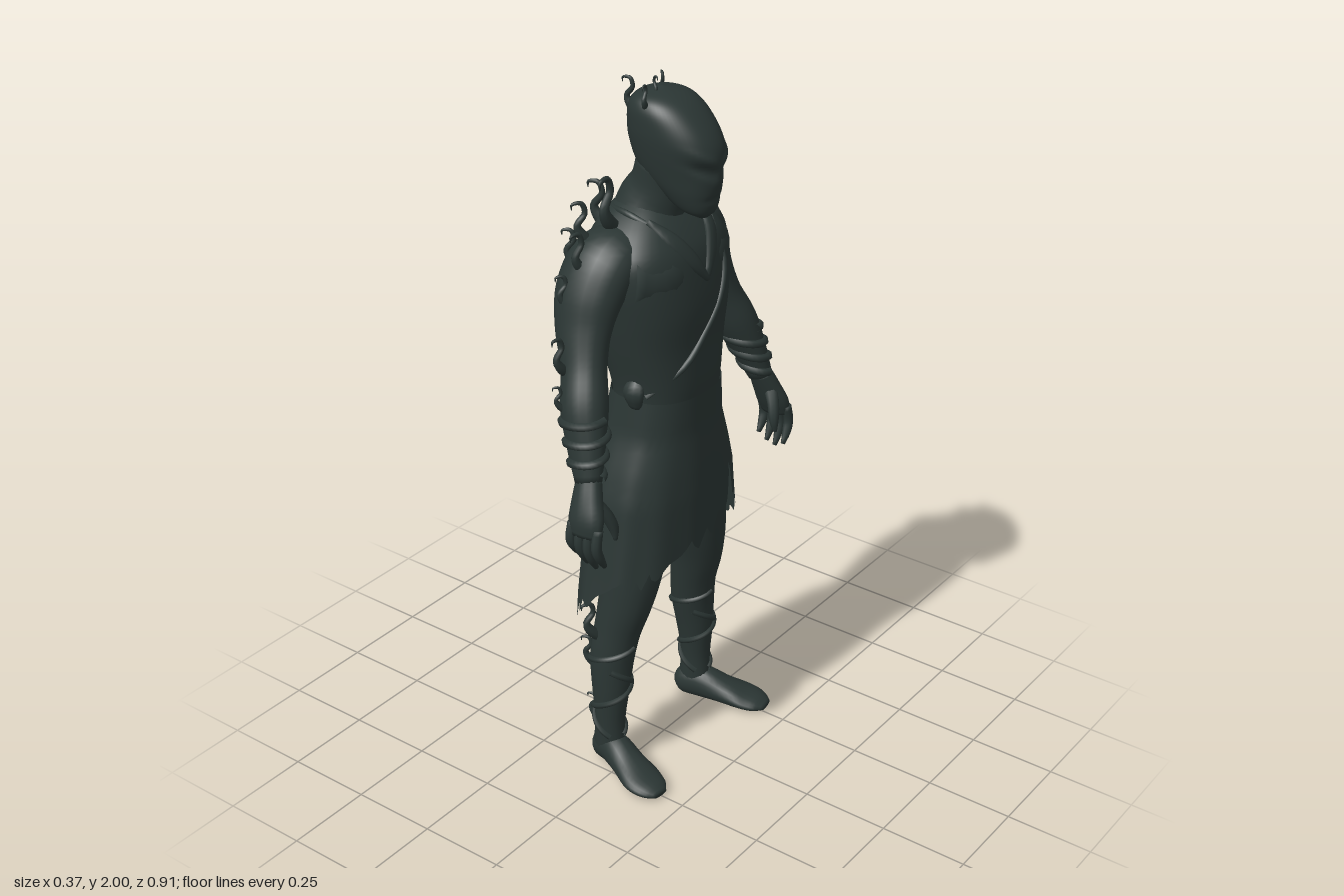
import * as THREE from 'three';

const V = (x, y, z) => new THREE.Vector3(x, y, z);
const X = V(1, 0, 0), Y = V(0, 1, 0);
const mat = new THREE.MeshStandardMaterial({ color: 0x2b3634, side: THREE.DoubleSide });
mat.name = 'charcoal green';

// Smooth interpolation through sections [x, y, z, radiusA, radiusB]
function track(pts) {
  const c = new THREE.CatmullRomCurve3(pts.map(p => V(p[0], p[1], p[2])), false, 'catmullrom');
  const r = new THREE.CatmullRomCurve3(pts.map(p => V(p[3], p[4], 0)), false, 'catmullrom');
  return t => ({ c: c.getPoint(t), r: r.getPoint(t), t: c.getTangent(t) });
}
const power = (v, p) => Math.sign(v) * Math.abs(v) ** (2 / p);

// Elliptical skin along a path; radiusA lies along ref
function loft(pts, { n = 20, sub = 4, ref = X, p = 2, level = false } = {}) {
  const at = track(pts), rows = (pts.length - 1) * sub, pos = [], idx = [];
  for (let i = 0; i <= rows; i++) {
    const s = at(i / rows);
    const t = level ? Y : s.t;
    const u = ref.clone().addScaledVector(t, -ref.dot(t)).normalize();
    const v = t.clone().cross(u);
    for (let j = 0; j < n; j++) {
      const a = j / n * Math.PI * 2;
      const q = s.c.clone().addScaledVector(u, Math.max(s.r.x, 0.0005) * power(Math.cos(a), p))
        .addScaledVector(v, Math.max(s.r.y, 0.0005) * power(Math.sin(a), p));
      pos.push(q.x, q.y, q.z);
      if (i < rows) {
        const A = i * n + j, B = i * n + (j + 1) % n;
        idx.push(A, B, B + n, A, B + n, A + n);
      }
    }
  }
  const s0 = pos.length / 3, last = rows * n;
  pos.push(...at(0).c.toArray(), ...at(1).c.toArray());
  for (let j = 0; j < n; j++) {
    const k = (j + 1) % n;
    idx.push(s0, k, j, s0 + 1, last + j, last + k);
  }
  return surface(pos, idx);
}
function surface(pos, idx) {
  const g = new THREE.BufferGeometry();
  g.setAttribute('position', new THREE.Float32BufferAttribute(pos, 3));
  g.setIndex(idx);
  g.computeVertexNormals();
  return g;
}
// Cord wound round a limb between two stations
function wrap(limb, t0, t1, a0, a1, radius) {
  const at = track(limb), pts = [];
  for (let i = 0; i <= 40; i++) {
    const k = i / 40, s = at(t0 + (t1 - t0) * k), a = a0 + (a1 - a0) * k;
    pts.push(V(s.c.x + s.r.x * Math.cos(a), s.c.y, s.c.z + s.r.y * Math.sin(a)));
  }
  return new THREE.TubeGeometry(new THREE.CatmullRomCurve3(pts), 80, radius, 6);
}
// Curling smoke wisp; out is its horizontal heading in radians (0 = +x)
function wisp(x, y, z, h, out) {
  const ox = Math.cos(out), oz = Math.sin(out);
  const shape = [[-0.2, -0.25, 0.16], [0.18, 0.1, 0.15], [0.34, 0.42, 0.1], [0.14, 0.72, 0.08], [0.22, 1, 0.065], [0.46, 1.0, 0.04], [0.48, 0.85, 0.01]];
  return loft(shape.map(([d, u, r]) => [x + d * h * ox, y + u * h, z + d * h * oz, r * h, r * h]),
    { n: 8, sub: 4, ref: V(oz, 0, -ox) });
}

const TORSO = [[0, 1.04, 0, 0.125, 0.16], [0.008, 1.13, 0, 0.122, 0.152], [0.005, 1.2, 0, 0.13, 0.158], [-0.008, 1.3, 0, 0.143, 0.18],
  [-0.014, 1.4, 0, 0.154, 0.2], [-0.024, 1.49, 0, 0.155, 0.215], [-0.03, 1.56, 0, 0.145, 0.208], [-0.037, 1.61, 0, 0.122, 0.168],
  [-0.042, 1.65, 0, 0.092, 0.118], [-0.04, 1.675, 0, 0.06, 0.075]];
// Point on the chest front at height y and side z
function chest(z, y, off) {
  let i = 0;
  while (i < TORSO.length - 2 && TORSO[i + 1][1] < y) i++;
  const a = TORSO[i], b = TORSO[i + 1], k = (y - a[1]) / (b[1] - a[1]);
  const m = j => a[j] + (b[j] - a[j]) * k;
  return m(0) + m(3) * Math.max(0, 1 - Math.abs(z / m(4)) ** 2.4) ** (1 / 2.4) + off;
}

// Ragged skirt: hem heights by angle in degrees, 0 = forward
const HEM = [[-180, 0.59], [-150, 0.61], [-110, 0.61], [-88, 0.65], [-72, 0.64], [-52, 0.72], [-36, 0.79], [-28, 0.91], [-21, 0.79],
  [0, 0.72], [30, 0.7], [50, 0.65], [80, 0.63], [100, 0.57], [125, 0.5], [150, 0.57], [180, 0.59]];
const WIDTH = [[1.16, 0.008, 0.128, 0.157], [1.05, -0.002, 0.136, 0.172], [0.95, -0.008, 0.149, 0.208], [0.87, -0.01, 0.155, 0.231],
  [0.78, -0.012, 0.158, 0.243], [0.65, -0.015, 0.162, 0.262], [0.48, -0.017, 0.165, 0.29]];
function lerpTable(table, v, col) {
  const up = table[0][0] < table[1][0];
  let i = 0;
  while (i < table.length - 2 && (up ? table[i + 1][0] < v : table[i + 1][0] > v)) i++;
  const a = table[i], b = table[i + 1];
  return a[col] + (b[col] - a[col]) * (v - a[0]) / (b[0] - a[0]);
}
function skirt() {
  const n = 180, rows = 22, pos = [], idx = [];
  for (let i = 0; i <= rows; i++) for (let j = 0; j < n; j++) {
    const deg = j * 2 - 180, a = deg * Math.PI / 180;
    const tooth = Math.abs(((deg + 180 + 9 * Math.sin(deg * 0.11)) / 20) % 1 - 0.6);
    const hem = lerpTable(HEM, deg, 1) + (tooth - 0.25) * 0.075;
    const k = i / rows, y = 1.16 + (hem - 1.16) * k, w = c => lerpTable(WIDTH, y, c);
    const fold = 1 + 0.01 * k * Math.sin(a * 11);
    pos.push(w(1) + w(2) * fold * power(Math.cos(a), 2.4), y, w(3) * fold * power(Math.sin(a), 2.4));
    if (i < rows) {
      const A = i * n + j, B = i * n + (j + 1) % n;
      idx.push(A, B + n, B, A, A + n, B + n);
    }
  }
  return surface(pos, idx);
}

// Head with sunken slanted eyes, brow and nose ridge
function head() {
  const g = loft([[0.125, 1.655, 0, 0.012, 0.018], [0.105, 1.675, 0, 0.05, 0.045], [0.08, 1.72, 0, 0.085, 0.066], [0.053, 1.77, 0, 0.118, 0.079],
    [0.042, 1.83, 0, 0.132, 0.09], [0.028, 1.88, 0, 0.123, 0.094], [0.008, 1.93, 0, 0.096, 0.089], [-0.003, 1.958, 0, 0.06, 0.065],
    [-0.005, 1.972, 0, 0.004, 0.004]], { n: 56, sub: 7, level: true, p: 2.15 });
  const p = g.attributes.position;
  for (let i = 0; i < p.count; i++) {
    const x = p.getX(i), y = p.getY(i), z = Math.abs(p.getZ(i));
    if (x < 0.06) continue;
    const slant = y - 1.795 - 0.6 * (z - 0.045);
    const bump = (dz, dy, sz, sy) => Math.exp(-((dz / sz) ** 2) - (dy / sy) ** 2);
    p.setX(i, x - 0.016 * bump(z - 0.045, slant, 0.028, 0.014) + 0.006 * bump(z - 0.04, slant - 0.03, 0.04, 0.012)
      + 0.006 * bump(z, y - 1.765, 0.014, 0.025) - 0.005 * bump(z, y - 1.71, 0.03, 0.007));
  }
  g.computeVertexNormals();
  return g;
}

export function createModel() {
  const root = new THREE.Group();
  root.name = 'figure';
  const add = (name, g) => {
    const m = new THREE.Mesh(g, mat);
    m.name = name;
    root.add(m);
  };

  add('head', head());
  add('neck', loft([[-0.045, 1.58, 0, 0.12, 0.13], [-0.035, 1.65, 0, 0.098, 0.094], [-0.01, 1.71, 0, 0.083, 0.074], [0.008, 1.78, 0, 0.08, 0.072]]));
  add('torso', loft(TORSO, { n: 40, p: 2.4, level: true }));
  add('skirt', skirt());

  // Wrapped tunic edge and collar lapels lying on the chest
  const strip = (name, path, width) => add(name, loft(path.map(([z, y], i) =>
    [chest(z, y, -0.002), y, z, 0.011, i % (path.length - 1) ? width : width * 0.4]), { n: 10 }));
  strip('tunicEdge', [[-0.11, 1.61], [-0.1, 1.5], [-0.06, 1.41], [0.01, 1.33], [0.08, 1.26], [0.15, 1.18]], 0.009);
  strip('rightLapel', [[0.1, 1.645], [0.075, 1.6], [0.035, 1.54], [-0.01, 1.48]], 0.022);
  strip('leftLapel', [[-0.1, 1.645], [-0.085, 1.6], [-0.05, 1.55], [-0.01, 1.49]], 0.026);
  add('collar', new THREE.TubeGeometry(new THREE.CatmullRomCurve3([V(0.05, 1.625, 0.09), V(-0.03, 1.655, 0.108), V(-0.105, 1.65, 0.075),
    V(-0.132, 1.645, 0), V(-0.105, 1.65, -0.075), V(-0.03, 1.655, -0.108), V(0.05, 1.625, -0.09)]), 40, 0.009, 8));
  add('waistKnot', loft([[0.02, 1.22, 0.145, 0.02, 0.012], [0.02, 1.185, 0.16, 0.033, 0.018], [0.02, 1.14, 0.152, 0.02, 0.01]], { n: 10 }));

  for (const s of [1, -1]) {
    const side = s > 0 ? 'right' : 'left';
    const M = pts => pts.map(([x, y, z, ...r]) => [x, y, z * s, ...r]);

    // Arm
    const arm = M([[-0.045, 1.57, 0.11, 0.085, 0.065], [-0.055, 1.545, 0.175, 0.1, 0.078], [-0.065, 1.475, 0.228, 0.098, 0.07],
      [-0.058, 1.39, 0.264, 0.082, 0.058], [-0.032, 1.3, 0.297, 0.064, 0.052], [-0.005, 1.21, 0.332, 0.066, 0.056],
      [0.022, 1.12, 0.361, 0.055, 0.043], [0.048, 1.03, 0.386, 0.038, 0.03]]);
    add(side + 'Arm', loft(arm, { sub: 5 }));
    add(side + 'ForearmWrap', wrap(arm, 0.74, 0.97, 0, s * Math.PI * 6, 0.012));
    add(side + 'Chest', loft(M([[0.07, 1.52, 0.02, 0.035, 0.04], [0.068, 1.5, 0.09, 0.055, 0.075], [0.02, 1.51, 0.17, 0.055, 0.07]]), { n: 16 }));

    // Hand, curled fingers and thumb
    add(side + 'Palm', loft(M([[0.047, 1.045, 0.382, 0.035, 0.028], [0.058, 0.99, 0.405, 0.045, 0.03], [0.068, 0.94, 0.424, 0.053, 0.028],
      [0.071, 0.9, 0.433, 0.045, 0.018]]), { n: 14 }));
    for (let f = 0; f < 4; f++) {
      const x = 0.028 + f * 0.028, l = [0.85, 1, 1.06, 0.95][f];
      add(side + 'Finger', loft(M([[x, 0.93, 0.43, 0.013, 0.014], [x + 0.001, 0.93 - 0.05 * l, 0.44, 0.014, 0.014],
        [x + 0.003, 0.93 - 0.085 * l, 0.43, 0.013, 0.013], [x + 0.004, 0.93 - 0.12 * l, 0.41, 0.006, 0.007]]), { n: 8 }));
    }
    add(side + 'Thumb', loft(M([[0.075, 0.99, 0.4, 0.022, 0.018], [0.1, 0.95, 0.38, 0.017, 0.017], [0.112, 0.91, 0.367, 0.014, 0.014],
      [0.118, 0.875, 0.366, 0.005, 0.005]]), { n: 8 }));

    // Leg, foot and shin cords
    const leg = M([[0, 1.0, 0.08, 0.1, 0.075], [0, 0.8, 0.115, 0.105, 0.09], [0.002, 0.65, 0.145, 0.09, 0.08], [-0.008, 0.55, 0.163, 0.08, 0.069],
      [-0.027, 0.45, 0.177, 0.068, 0.063], [-0.038, 0.36, 0.19, 0.064, 0.06], [-0.037, 0.26, 0.2, 0.056, 0.05], [-0.037, 0.16, 0.205, 0.045, 0.04],
      [-0.04, 0.08, 0.205, 0.048, 0.037], [-0.04, 0.03, 0.205, 0.045, 0.035]]);
    add(side + 'Leg', loft(leg));
    add(side + 'Foot', loft(M([[-0.096, 0.04, 0.192, 0.018, 0.015], [-0.075, 0.045, 0.196, 0.042, 0.035], [-0.02, 0.055, 0.208, 0.052, 0.042],
      [0.05, 0.04, 0.23, 0.038, 0.05], [0.11, 0.028, 0.25, 0.026, 0.058], [0.155, 0.021, 0.258, 0.019, 0.047], [0.182, 0.017, 0.262, 0.009, 0.024]]),
      { ref: Y }));
    add(side + 'ShinCord', wrap(leg, 0.5, 0.84, 0, Math.PI * 4, 0.009));
    add(side + 'CrossCord', wrap(leg, 0.58, 0.84, 1, 1 - Math.PI * 2, 0.009));

    // Smoke wisps shared by both sides
    const out = s * Math.PI / 2;
    for (const [x, y, z, h, turn] of [[-0.07, 1.54, 0.235, 0.1, 0.2], [-0.09, 1.45, 0.275, 0.08, 0.6], [-0.06, 1.3, 0.335, 0.09, 0.2],
      [-0.04, 1.21, 0.37, 0.06, 0.7], [-0.06, 0.44, 0.225, 0.1, 0.5], [-0.08, 0.33, 0.215, 0.08, 1.1], [-0.07, 0.15, 0.215, 0.07, 1.3]])
      add(side + 'Wisp', wisp(x, y, z * s, h, out + s * turn));
  }

  // Uneven wisps on the shoulders and crown
  for (const [x, y, z, h, a] of [[-0.06, 1.63, 0.13, 0.13, 1.5], [-0.09, 1.6, 0.19, 0.1, 2.2], [-0.12, 1.6, 0.08, 0.11, 2.8],
    [-0.07, 1.6, -0.18, 0.1, -1.6], [-0.03, 1.62, -0.11, 0.06, -1.4], [-0.12, 1.53, 0.2, 0.09, 2.6]])
    add('shoulderWisp', wisp(x, y, z, h, a));
  for (const [x, y, z, h, a] of [[-0.055, 1.91, 0.04, 0.08, 2.9], [0.0, 1.935, 0.07, 0.06, 1.3], [-0.02, 1.95, 0.02, 0.05, 0.4],
    [-0.04, 1.92, -0.05, 0.06, -2.4]])
    add('crownWisp', wisp(x, y, z, h, a));
  return root;
}
